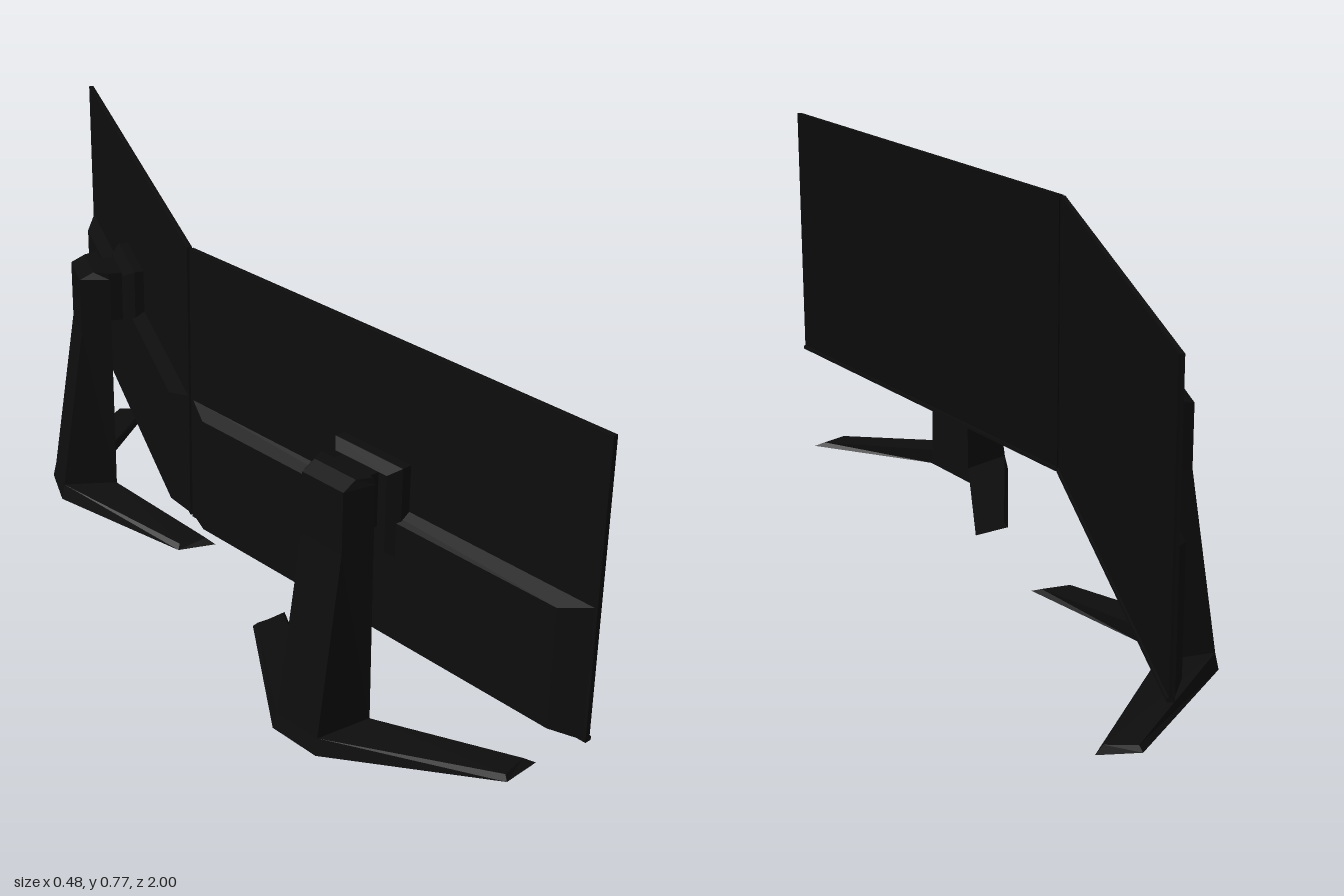
import * as THREE from 'three';

// Skins equal-sized rings of [x, y, z] points into a closed, flat-faced solid.
function loft(rings) {
  const tris = [];
  const n = rings[0].length;
  for (let r = 0; r < rings.length - 1; r++) {
    const a = rings[r], b = rings[r + 1];
    for (let i = 0; i < n; i++) {
      const j = (i + 1) % n;
      tris.push([a[i], a[j], b[j]], [a[i], b[j], b[i]]);
    }
  }
  const last = rings[rings.length - 1];
  for (let i = 1; i < n - 1; i++) {
    tris.push([rings[0][0], rings[0][i + 1], rings[0][i]]);
    tris.push([last[0], last[i], last[i + 1]]);
  }
  // Turn the solid outwards if its signed volume is negative
  let volume = 0;
  const v = () => new THREE.Vector3();
  for (const [a, b, c] of tris) {
    volume += v().fromArray(a).dot(v().fromArray(b).cross(v().fromArray(c)));
  }
  if (volume < 0) tris.forEach((t) => t.reverse());
  const geometry = new THREE.BufferGeometry();
  geometry.setAttribute('position', new THREE.Float32BufferAttribute(tris.flat(2), 3));
  geometry.computeVertexNormals();
  return geometry;
}

// Upright rectangle facing z, used for tapered panels
const panel = (halfWidth, y0, y1, z) => [
  [-halfWidth, y0, z], [halfWidth, y0, z], [halfWidth, y1, z], [-halfWidth, y1, z],
];

// Level trapezoid, used for the column
const level = (y, back, zBack, front, zFront) => [
  [-back, y, zBack], [back, y, zBack], [front, y, zFront], [-front, y, zFront],
];

export function createModel() {
  const screenBlack = new THREE.MeshStandardMaterial({ color: 0x0b0b0b });
  screenBlack.name = 'screenBlack';
  const casingBlack = new THREE.MeshStandardMaterial({ color: 0x0d0d0d });
  casingBlack.name = 'casingBlack';

  const HALF = 0.514; // half the screen width
  const BOTTOM = 0.185, TOP = 0.77;

  function createMonitor(name) {
    const monitor = new THREE.Group();
    monitor.name = name;
    const add = (partName, geometry, material = casingBlack) => {
      const mesh = new THREE.Mesh(geometry, material);
      mesh.name = partName;
      monitor.add(mesh);
    };
    const box = (w, h, d, x, y, z) => new THREE.BoxGeometry(w, h, d).translate(x, y, z);

    // Thin display with a narrow lip along its lower edge
    add('screen', box(HALF * 2, TOP - BOTTOM - 0.008, 0.004, 0, (TOP + BOTTOM + 0.008) / 2, -0.002), screenBlack);
    add('backPanel', box(HALF * 2, TOP - BOTTOM - 0.008, 0.006, 0, (TOP + BOTTOM + 0.008) / 2, -0.007));
    add('bottomLip', box(HALF * 2, 0.008, 0.014, 0, BOTTOM + 0.004, -0.003));

    // Thicker lower housing with chamfered sides and top
    add('rearHousing', loft([
      panel(0.51, 0.188, 0.452, -0.009),
      panel(0.45, 0.193, 0.435, -0.036),
    ]));

    // Mount on the back of the screen and the neck joining it to the stand
    add('mountPlate', loft([
      panel(0.085, 0.36, 0.545, -0.009),
      panel(0.085, 0.36, 0.545, -0.03),
      panel(0.065, 0.375, 0.53, -0.05),
    ]));
    add('neck', box(0.09, 0.11, 0.06, 0, 0.475, -0.072));

    // Leaning column, vertical near the top, with a bevelled rear top edge
    add('standColumn', loft([
      level(0.028, 0.055, -0.197, 0.073, -0.08),
      level(0.40, 0.052, -0.143, 0.068, -0.08),
      level(0.525, 0.052, -0.143, 0.068, -0.08),
      level(0.54, 0.052, -0.113, 0.066, -0.084),
    ]));

    // V-shaped foot: sections from one tip, across the middle, to the other tip
    const tip = [[0.342, 0, 0.001], [0.333, 0.01, 0.006], [0.322, 0.01, 0.066], [0.338, 0, 0.084]];
    const middle = [[0.058, 0, -0.203], [0.055, 0.034, -0.196], [0.075, 0.034, -0.08], [0.079, 0, -0.08]];
    const mirror = (ring) => ring.map(([x, y, z]) => [-x, y, z]);
    add('foot', loft([mirror(tip), mirror(middle), middle, tip]));
    return monitor;
  }

  // Two monitors side by side, angled towards each other
  const group = new THREE.Group();
  group.name = 'dualMonitors';
  const placements = [
    ['rightHandMonitor', -0.034, -0.49, 1.418],
    ['leftHandMonitor', 0.0515, 0.51, 1.893],
  ];
  for (const [name, x, z, turn] of placements) {
    const monitor = createMonitor(name);
    monitor.position.set(x, 0, z);
    monitor.rotation.y = turn;
    group.add(monitor);
  }
  return group;
}
